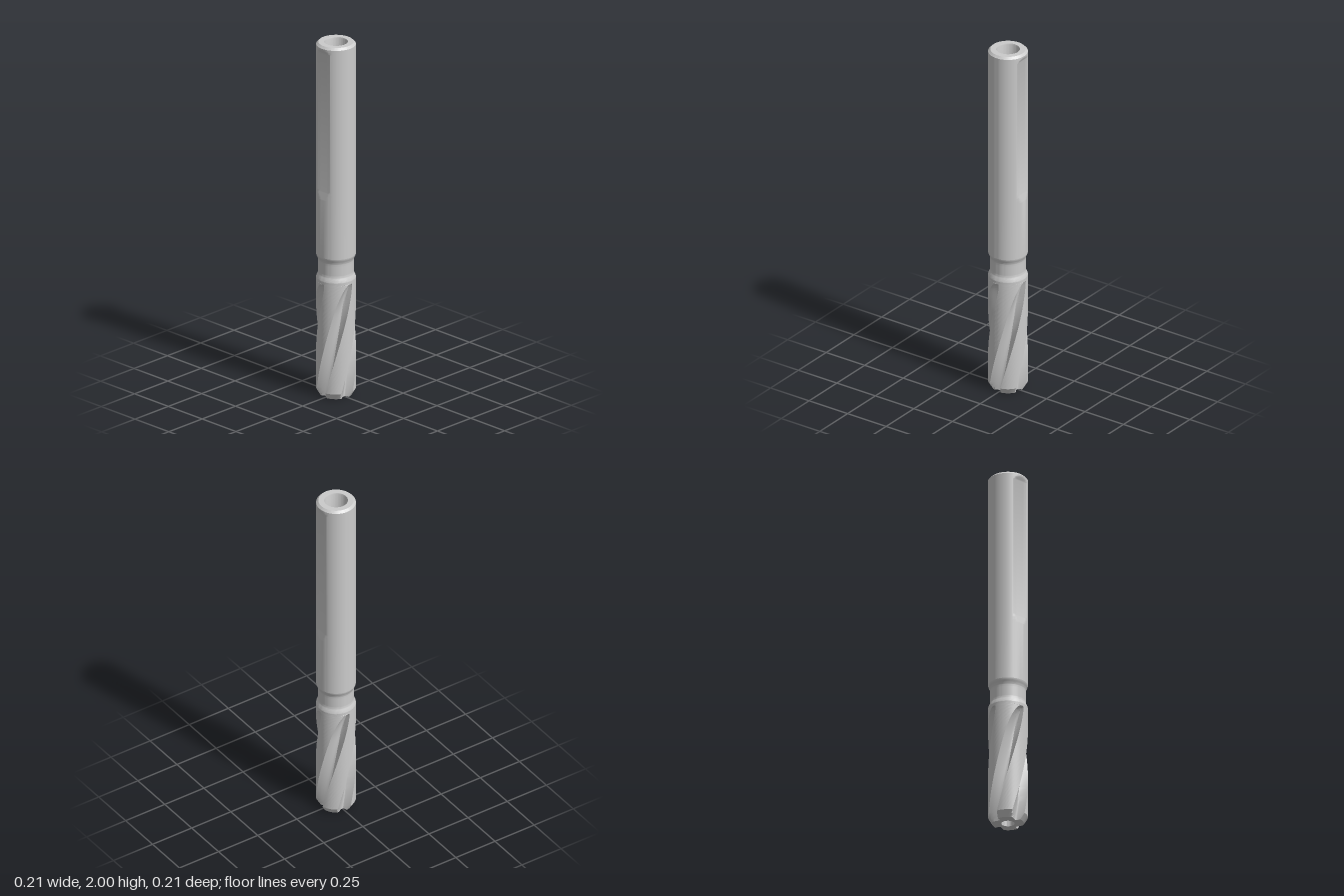
import * as THREE from 'three';
import { toCreasedNormals } from 'three/addons/utils/BufferGeometryUtils.js';

const R = 0.105, BORE = 0.035, RAD = Math.PI / 180;
const clamp = THREE.MathUtils.clamp, lerp = THREE.MathUtils.lerp;
const material = new THREE.MeshStandardMaterial({ color: 0xcccccc, roughness: 0.5, metalness: 0.1 });

// Angle runs from +z towards +x
const polar = (r, a, y) => [r * Math.sin(a), y, r * Math.cos(a)];

// Closed skin through rings that all have the same number of points
function loft(name, rings, crease = 0.52) {
  const n = rings[0].length, index = [];
  for (let i = 0; i < rings.length - 1; i++) {
    for (let j = 0; j < n; j++) {
      const k = (j + 1) % n;
      const a = i * n + j, b = i * n + k, c = b + n, d = a + n;
      index.push(a, b, c, a, c, d);
    }
  }
  const geo = new THREE.BufferGeometry();
  geo.setAttribute('position', new THREE.Float32BufferAttribute(rings.flat(2), 3));
  geo.setIndex(index);
  const mesh = new THREE.Mesh(toCreasedNormals(geo, crease), material);
  mesh.name = name;
  return mesh;
}

// Round part from [radius, height] pairs
function turned(name, profile, segments = 72) {
  const rings = profile.map(([r, y]) =>
    Array.from({ length: segments }, (_, j) => polar(r, j / segments * 2 * Math.PI, y)));
  return loft(name, rings);
}

// Cutting head: four right-hand flutes that run out below the neck
function flutedHead() {
  const low = -35, width = 43, twist = 150, depth = 0.046, end = 0.65;
  // Sloping back, rounded floor and steep cutting face: [across, depth]
  const flute = [[0, 0], [0.1, 0.24], [0.25, 0.52], [0.42, 0.77], [0.6, 0.93],
    [0.76, 1], [0.88, 0.98], [0.95, 0.88], [1, 0]];

  const outline = (y) => {
    const t = clamp((end - y) / 0.18, 0, 1);
    const s = Math.sqrt(1 - (1 - t) ** 2);            // grinding wheel run-out
    const w = width * Math.max(0.02, s ** 0.7);
    const start = low + twist * y + 0.75 * (width - w);
    const outer = lerp(0.084, R, clamp(y / 0.035, 0, 1)); // tip chamfer
    const points = [];
    for (let f = 0; f < 4; f++) {
      const a0 = start + f * 90;
      for (const [u, d] of flute) {
        points.push([Math.min(outer, R - depth * d * s), (a0 + u * w) * RAD]);
      }
      for (let k = 1; k < 12; k++) {
        points.push([outer, (a0 + w + (90 - w) * k / 12) * RAD]);
      }
    }
    return points;
  };

  const heights = [0, 0.0175, 0.035];
  for (let i = 1; i <= 30; i++) heights.push(lerp(0.035, 0.47, i / 30));
  for (let i = 1; i <= 24; i++) heights.push(end - 0.18 * (1 - i / 24) ** 1.6);
  heights.push(0.665);

  const rings = heights.map((y) => outline(y).map(([r, a]) => polar(r, a, y)));
  // End face reaches in to the through hole
  rings.unshift(outline(0).map(([, a]) => polar(BORE, a, 0)));
  return loft('flutedHead', rings);
}

// Shank with a clamping flat on the front and the back
function shank() {
  const flat = 0.093, half = Math.acos(flat / R), angles = [];
  for (let side = 0; side < 2; side++) {
    const mid = side * Math.PI;
    for (let k = 0; k < 12; k++) angles.push(mid + lerp(-half, half, k / 12));
    for (let k = 0; k < 24; k++) angles.push(mid + lerp(half, Math.PI - half, k / 24));
  }
  const ring = (r, y) => {
    const runIn = clamp((y - 1.12) / 0.06, 0, 1), runOut = clamp((1.982 - y) / 0.025, 0, 1);
    const f = lerp(R, flat, Math.min(runIn, runOut));
    return angles.map((a) => polar(Math.min(r, f / Math.abs(Math.cos(a))), a, y));
  };
  const rings = [ring(R, 0.8)];
  for (let i = 0; i <= 10; i++) rings.push(ring(R, 1.12 + 0.006 * i));
  for (let i = 0; i <= 4; i++) rings.push(ring(R, 1.957 + 0.00625 * i));
  rings.push(ring(R, 1.988), ring(0.093, 2), ring(0.063, 2));
  return loft('shank', rings);
}

// Relief groove between head and shank
function neck() {
  const profile = [];
  for (let i = 0; i <= 24; i++) {
    const t = i / 24, dip = clamp(Math.sin(t * Math.PI) * 1.35, 0, 1);
    profile.push([R - 0.011 * dip * dip * (3 - 2 * dip), lerp(0.665, 0.8, t)]);
  }
  return turned('neck', profile);
}

export function createModel() {
  const model = new THREE.Group();
  model.name = 'flutedReamer';
  model.add(flutedHead(), neck(), shank());
  // Counterbore and through hole, from the top down
  model.add(turned('centreBore', [
    [0.063, 2], [0.0605, 1.993], [0.0605, 1.75], [0.037, 1.75], [BORE, 1.745], [BORE, 0],
  ]));
  return model;
}
